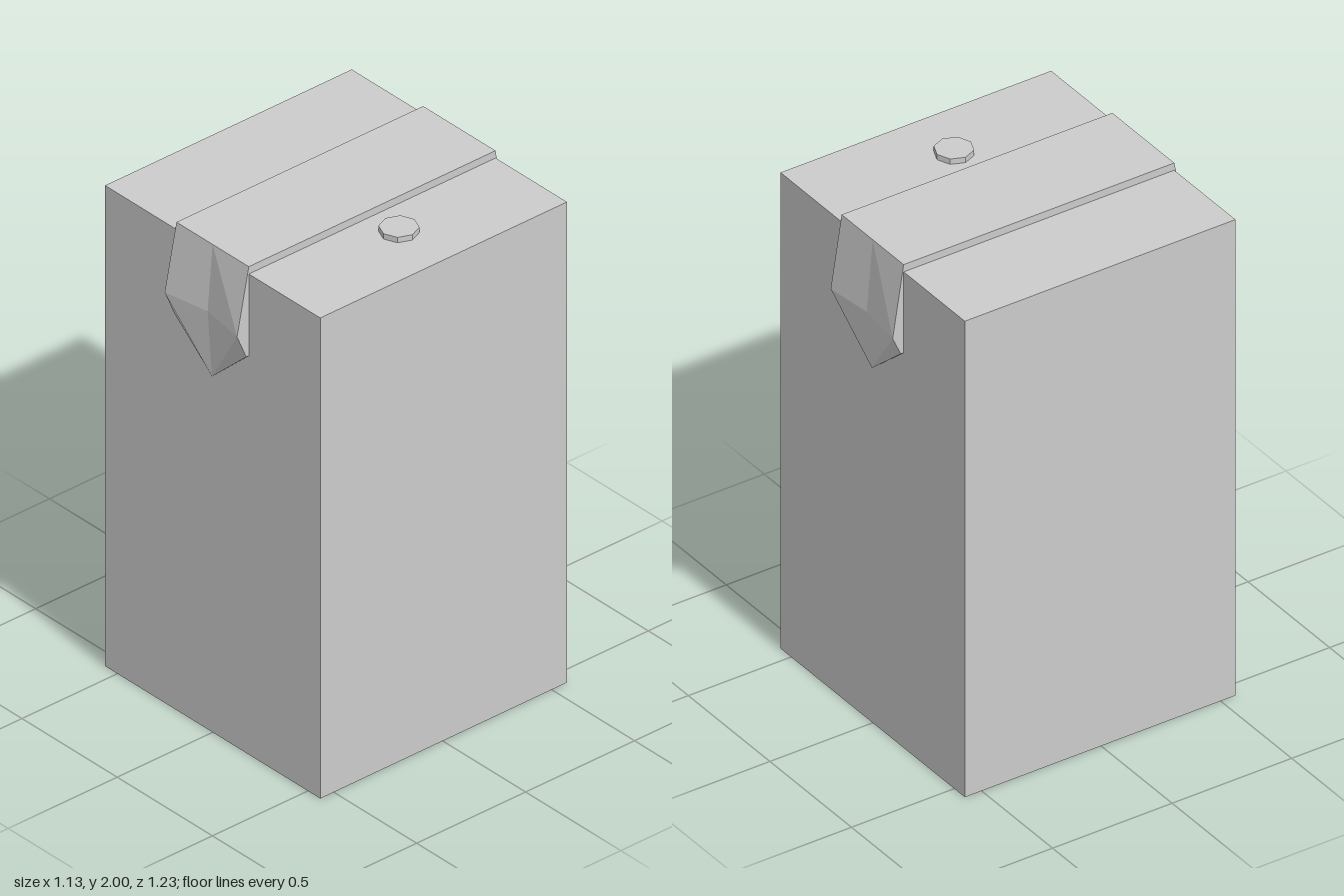
import * as THREE from 'three';

const grey = () => new THREE.MeshStandardMaterial({ color: 0xcccccc, flatShading: true, side: THREE.DoubleSide });

function addMesh(group, name, geometry, x, y, z) {
  const mesh = new THREE.Mesh(geometry, grey());
  mesh.name = name;
  mesh.position.set(x, y, z);
  group.add(mesh);
}

// Pointed flap: bulging at its sides, creased down the middle, tapering to a tip on the wall.
function flapGeometry(dir, wall, ridgeY, ridgeMid, tipY) {
  const w = 0.19;
  const at = (x, y, z) => [x, y, dir * z];
  const pos = [];
  const tri = (a, b, c, flip) => pos.push(...a, ...(flip ? c : b), ...(flip ? b : c));
  const topMid = at(0, 2, wall), ridge = at(0, ridgeY, ridgeMid), tip = at(0, tipY, wall + 0.003);
  for (const s of [1, -1]) {
    const top = at(s * w, 2, wall), out = at(s * w, ridgeY, 0.616);
    const low = at(s * w, 1.635, wall + 0.012), foot = at(s * w, 1.635, wall);
    const flip = s * dir < 0;
    // upper panel
    tri(topMid, ridge, out, flip);
    tri(topMid, out, top, flip);
    // lower panel
    tri(ridge, tip, out, flip);
    tri(out, tip, low, flip);
    // closed side and thin lower edge
    tri(top, out, low, flip);
    tri(top, low, foot, flip);
    tri(low, tip, foot, flip);
  }
  const geometry = new THREE.BufferGeometry();
  geometry.setAttribute('position', new THREE.Float32BufferAttribute(pos, 3));
  geometry.computeVertexNormals();
  return geometry;
}

export function createModel() {
  const group = new THREE.Group();
  group.name = 'carton';
  const front = 0.562, back = 0.57;
  const depth = front + back, midZ = (front - back) / 2;

  // Carton body and the raised band across the top
  addMesh(group, 'body', new THREE.BoxGeometry(1.13, 1.97, depth), 0, 0.985, midZ);
  addMesh(group, 'topSeam', new THREE.BoxGeometry(0.38, 0.03, depth), 0, 1.985, midZ);

  // Folded ends of the band
  addMesh(group, 'frontFlap', flapGeometry(1, front, 1.735, 0.585, 1.46), 0, 0, 0);
  addMesh(group, 'backFlap', flapGeometry(-1, back, 1.71, 0.595, 1.47), 0, 0, 0);

  // Small eight-sided straw seal
  addMesh(group, 'strawSeal', new THREE.CylinderGeometry(0.071, 0.071, 0.03, 8), 0.327, 1.977, -0.007);
  return group;
}
